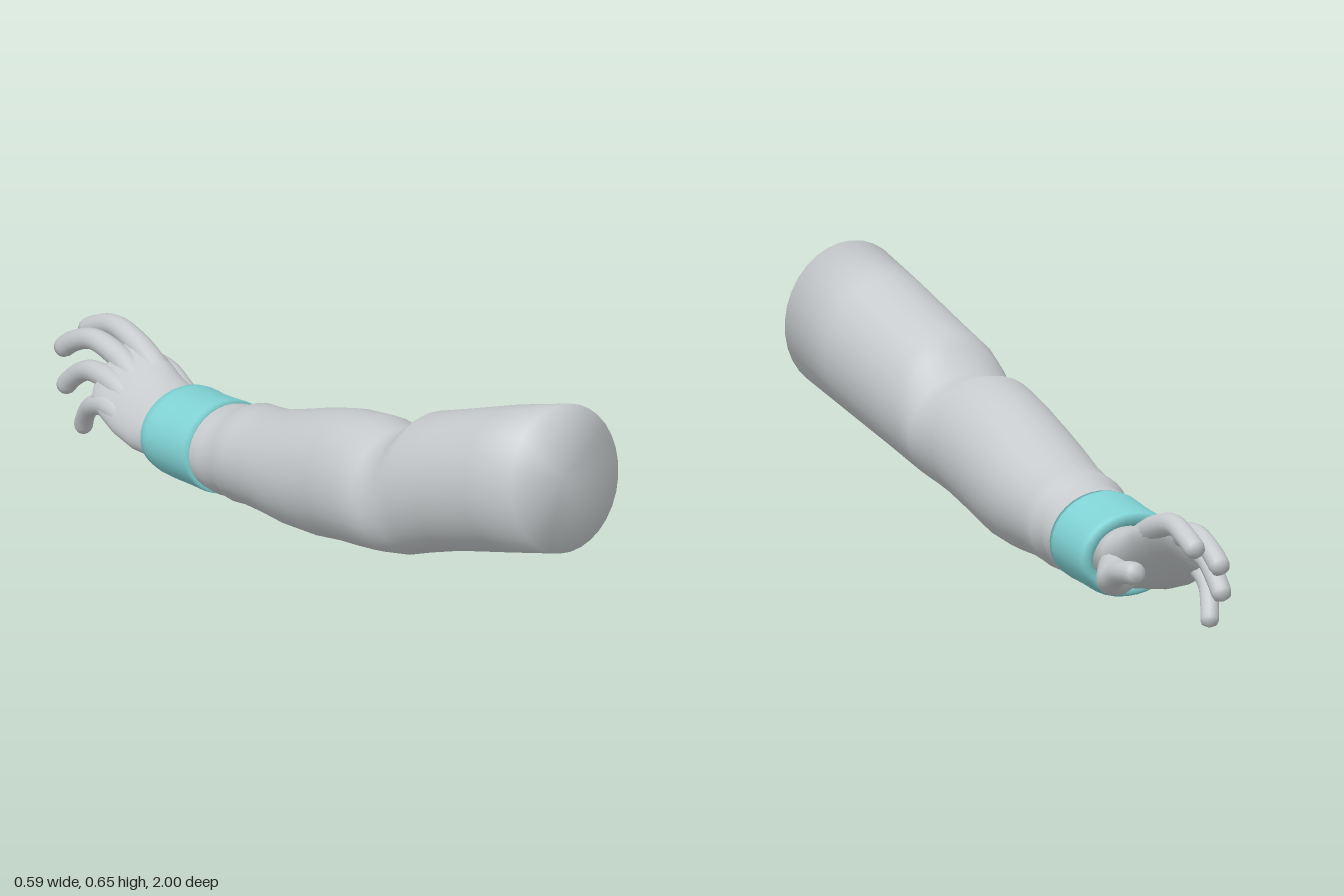
import * as THREE from 'three';
import { mergeVertices } from 'three/addons/utils/BufferGeometryUtils.js';

const SEG = 32;

// Skin a row of closed rings (running from +z to -z), optionally capped
function loft(rings, capFront, capBack) {
  const pos = rings.flat(2), index = [], n = rings.length;
  for (let i = 0; i < n - 1; i++) {
    for (let j = 0; j < SEG; j++) {
      const k = (j + 1) % SEG;
      const a = i * SEG + j, b = i * SEG + k, c = a + SEG, d = b + SEG;
      index.push(a, c, b, c, d, b);
    }
  }
  const cap = (r, front) => {
    const centre = pos.length / 3;
    pos.push(...[0, 1, 2].map(k => rings[r].reduce((s, p) => s + p[k], 0) / SEG));
    for (let j = 0; j < SEG; j++) {
      const a = r * SEG + j, b = r * SEG + (j + 1) % SEG;
      index.push(centre, front ? a : b, front ? b : a);
    }
  };
  if (capFront) cap(0, true);
  if (capBack) cap(n - 1, false);
  const g = new THREE.BufferGeometry();
  g.setAttribute('position', new THREE.Float32BufferAttribute(pos, 3));
  g.setIndex(index);
  g.computeVertexNormals();
  return g;
}

// Elliptical ring: centre, half sizes, roll, slanted plane, elbow bulge
function ring(z, cx, cy, w, h, roll = 0, slant = 0.11, bulge = 0) {
  const pts = [];
  for (let j = 0; j < SEG; j++) {
    const t = (j / SEG) * Math.PI * 2;
    const s = 1 + bulge * Math.max(0, Math.cos(t - Math.PI * 1.25)) ** 4;
    const u = Math.cos(t) * w * s, v = Math.sin(t) * h * s;
    const x = u * Math.cos(roll) - v * Math.sin(roll);
    const y = u * Math.sin(roll) + v * Math.cos(roll);
    pts.push([cx + x, cy + y, z + slant * (x - y)]);
  }
  return pts;
}

// Ring from its left, right, bottom and top limits
const box = ([z, x0, x1, y0, y1, bulge = 0]) =>
  ring(z, (x0 + x1) / 2, (y0 + y1) / 2, (x1 - x0) / 2, (y1 - y0) / 2, 0, 0.11, bulge);

// Tapered round-tipped digit along a curve
function digit(points, r0, r1) {
  const curve = new THREE.CatmullRomCurve3(points.map(p => new THREE.Vector3(...p)));
  const rows = 28, sides = 14;
  const tube = new THREE.TubeGeometry(curve, rows, 1, sides);
  const p = tube.attributes.position, v = new THREE.Vector3();
  const tip = 1 - r1 / curve.getLength();
  for (let i = 0; i <= rows; i++) {
    const f = i / rows, c = curve.getPointAt(f);
    let r = THREE.MathUtils.lerp(r0, r1, Math.min(1, f * 1.6));
    if (f > tip) r *= Math.sqrt(Math.max(0, 1 - ((f - tip) / (1 - tip)) ** 2));
    for (let j = 0; j <= sides; j++) {
      const k = i * (sides + 1) + j;
      v.fromBufferAttribute(p, k).sub(c).multiplyScalar(r).add(c);
      p.setXYZ(k, v.x, v.y, v.z);
    }
  }
  tube.deleteAttribute('uv');
  tube.deleteAttribute('normal');
  const g = mergeVertices(tube, 1e-5);
  g.computeVertexNormals();
  return g;
}

export function createModel() {
  const grey = new THREE.MeshStandardMaterial({ color: 0xc6cacc });
  grey.name = 'pale grey';
  const teal = new THREE.MeshStandardMaterial({ color: 0x80d2d4 });
  teal.name = 'turquoise';

  const model = new THREE.Group();
  model.name = 'arm';
  const add = (parent, name, geometry, material) => {
    const m = new THREE.Mesh(geometry, material);
    m.name = name;
    parent.add(m);
  };

  // Sleeve with the elbow fold and a stepped hem
  add(model, 'sleeve', loft([
    [0.975, -0.295, 0.038, 0.285, 0.655],
    [0.8, -0.28, 0.042, 0.235, 0.6],
    [0.62, -0.268, 0.048, 0.185, 0.535],
    [0.52, -0.262, 0.05, 0.155, 0.5, 0.05],
    [0.48, -0.258, 0.052, 0.145, 0.47, 0.12],
    [0.43, -0.252, 0.056, 0.138, 0.415, 0.16],
    [0.39, -0.25, 0.06, 0.13, 0.415, 0.15],
    [0.32, -0.243, 0.066, 0.112, 0.426, 0.1],
    [0.2, -0.212, 0.085, 0.082, 0.403, 0.05],
    [0.1, -0.192, 0.1, 0.055, 0.372],
    [0, -0.173, 0.115, 0.046, 0.335],
    [-0.1, -0.145, 0.12, 0.045, 0.3],
    [-0.17, -0.128, 0.134, 0.04, 0.285],
    [-0.21, -0.125, 0.143, 0.034, 0.28],
    [-0.235, -0.107, 0.13, 0.038, 0.262],
    [-0.27, -0.11, 0.148, 0.032, 0.255],
    [-0.31, -0.1, 0.15, 0.034, 0.246],
    [-0.42, -0.08, 0.155, 0.04, 0.22],
  ].map(box), true, true), grey);

  // Wrist cuff, turned in at both ends
  add(model, 'cuff', loft([
    [-0.315, -0.09, 0.14, 0.045, 0.235],
    [-0.305, -0.107, 0.155, 0.028, 0.252],
    [-0.32, -0.109, 0.158, 0.025, 0.252],
    [-0.38, -0.097, 0.168, 0.022, 0.243],
    [-0.44, -0.088, 0.182, 0.018, 0.236],
    [-0.475, -0.082, 0.193, 0.018, 0.234],
    [-0.498, -0.075, 0.195, 0.023, 0.23],
    [-0.508, -0.062, 0.183, 0.032, 0.217],
    [-0.498, -0.045, 0.165, 0.045, 0.2],
    [-0.46, -0.02, 0.14, 0.07, 0.17],
  ].map(box)), teal);

  // Hand
  const hand = new THREE.Group();
  hand.name = 'hand';
  model.add(hand);
  add(hand, 'palm', loft([
    [-0.45, 0.06, 0.12, 0.1, 0.075, 0.25],
    [-0.52, 0.06, 0.122, 0.103, 0.074, 0.35],
    [-0.6, 0.07, 0.133, 0.11, 0.063, 0.58],
    [-0.67, 0.082, 0.156, 0.116, 0.052, 0.67],
    [-0.73, 0.09, 0.177, 0.11, 0.04, 0.67],
    [-0.77, 0.094, 0.188, 0.095, 0.03, 0.67],
    [-0.785, 0.095, 0.19, 0.07, 0.015, 0.67],
  ].map(s => ring(...s, 0)), true, true), grey);

  const digits = {
    indexFinger: [[[0.135, 0.205, -0.66], [0.155, 0.24, -0.74], [0.17, 0.262, -0.835], [0.182, 0.24, -0.91], [0.186, 0.208, -0.965]], 0.034, 0.026],
    middleFinger: [[[0.09, 0.18, -0.67], [0.108, 0.218, -0.76], [0.12, 0.235, -0.86], [0.13, 0.205, -0.94], [0.136, 0.163, -0.995]], 0.034, 0.026],
    ringFinger: [[[0.05, 0.15, -0.66], [0.062, 0.178, -0.75], [0.08, 0.172, -0.84], [0.095, 0.128, -0.91], [0.102, 0.085, -0.95]], 0.033, 0.025],
    littleFinger: [[[0.02, 0.115, -0.65], [0.026, 0.13, -0.72], [0.042, 0.105, -0.79], [0.068, 0.055, -0.84], [0.088, 0.006, -0.868]], 0.032, 0.023],
    thumb: [[[0.11, 0.105, -0.53], [0.17, 0.098, -0.59], [0.235, 0.11, -0.665], [0.26, 0.14, -0.74], [0.267, 0.152, -0.832]], 0.058, 0.028],
  };
  for (const [name, args] of Object.entries(digits)) add(hand, name, digit(...args), grey);

  return model;
}
